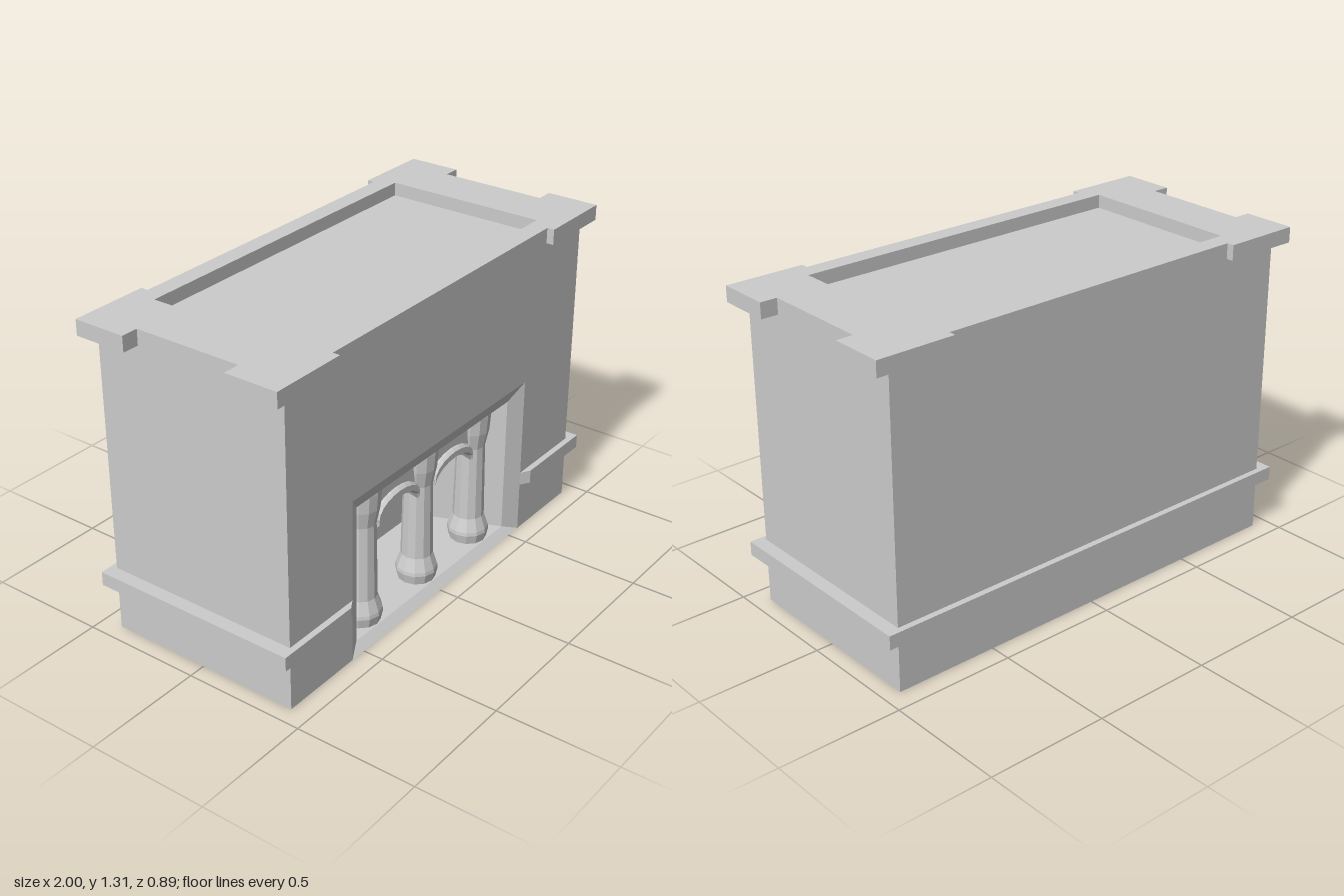
import * as THREE from 'three';

const material = new THREE.MeshStandardMaterial({ color: 0xcccccc, flatShading: true });

function add(parent, name, geometry, x = 0, y = 0, z = 0) {
  const mesh = new THREE.Mesh(geometry, material);
  mesh.name = name;
  mesh.position.set(x, y, z);
  parent.add(mesh);
  return mesh;
}

// Flat faces from four-cornered loops, corners counter-clockwise from outside
function quads(list) {
  const pos = [];
  for (const [a, b, c, d] of list) pos.push(...a, ...b, ...c, ...a, ...c, ...d);
  const g = new THREE.BufferGeometry();
  g.setAttribute('position', new THREE.Float32BufferAttribute(pos, 3));
  g.computeVertexNormals();
  return g;
}

// Recess facing +z: rings run from the opening to the back, which is closed
const ring = (w, b, t, z) => [[-w, b, z], [w, b, z], [w, t, z], [-w, t, z]];
function recess(rings) {
  const list = [];
  for (let i = 0; i + 1 < rings.length; i++) {
    for (let k = 0; k < 4; k++) {
      const n = (k + 1) % 4;
      list.push([rings[i][k], rings[i][n], rings[i + 1][n], rings[i + 1][k]]);
    }
  }
  list.push(rings[rings.length - 1]);
  return quads(list);
}

const shapeOf = (pts) => new THREE.Shape(pts.map(([x, y]) => new THREE.Vector2(x, y)));
const rect = (w, d) => [[-w, -d], [w, -d], [w, d], [-w, d]];

const W = 0.93, D = 0.415, H = 1.31;       // body half width, half depth, height
const FLOOR = 0.03, CEILING = 0.615;       // alcove
const PILLAR_X = 0.365, PILLAR_Z = 0.3;

export function createModel() {
  const model = new THREE.Group();
  model.name = 'pedestal';

  // Body: sides, back and underside
  add(model, 'bodyWalls', quads([
    [[W, 0, D], [W, 0, -D], [W, H, -D], [W, H, D]],
    [[-W, 0, -D], [-W, 0, D], [-W, H, D], [-W, H, -D]],
    [[W, 0, -D], [-W, 0, -D], [-W, H, -D], [W, H, -D]],
    [[-W, 0, -D], [W, 0, -D], [W, 0, D], [-W, 0, D]],
  ]));

  // Front wall around the alcove opening
  add(model, 'frontWall', new THREE.ShapeGeometry(shapeOf([
    [-W, 0], [-0.57, 0], [-0.57, 0.685], [0.57, 0.685], [0.57, 0], [W, 0], [W, H], [-W, H],
  ])), 0, 0, D);

  // Top rim and the sunken tray inside it
  const rim = shapeOf(rect(W, D));
  rim.holes.push(shapeOf(rect(0.72, 0.34)));
  add(model, 'topRim', new THREE.ShapeGeometry(rim).rotateX(-Math.PI / 2), 0, H, 0);
  add(model, 'topTray', recess([ring(0.72, -0.34, 0.34, 0), ring(0.72, -0.34, 0.34, -0.055)])
    .rotateX(-Math.PI / 2), 0, H, 0);

  // Bracket wrapped around each top corner
  for (const sx of [-1, 1]) {
    for (const sz of [-1, 1]) {
      const corner = new THREE.Group();
      corner.name = 'cornerBracket';
      add(corner, 'bracketLongArm', new THREE.BoxGeometry(0.325, 0.063, 0.03), sx * 0.8375, 1.2785, sz * 0.43);
      add(corner, 'bracketShortArm', new THREE.BoxGeometry(0.07, 0.063, 0.19), sx * 0.965, 1.2785, sz * 0.32);
      model.add(corner);
    }
  }

  // Moulding round the base, cut at a slant beside the alcove
  const band = shapeOf([
    [0.57, D], [0.61, 0.44], [0.985, 0.44], [0.985, -0.44], [-0.985, -0.44], [-0.985, 0.44],
    [-0.61, 0.44], [-0.57, D], [-W, D], [-W, -D], [W, -D], [W, D],
  ]);
  add(model, 'baseMoulding', new THREE.ExtrudeGeometry(band, { depth: 0.057, bevelEnabled: false })
    .rotateX(Math.PI / 2), 0, 0.267, 0);

  // Alcove with a bevelled mouth and walls narrowing to the back
  add(model, 'alcove', recess([
    ring(0.57, 0, 0.685, D), ring(0.5, FLOOR, CEILING, 0.38), ring(0.36, FLOOR, CEILING, 0.03),
  ]));

  // Pillars with flared foot and head
  const profile = [
    [0.076, FLOOR], [0.085, 0.07], [0.083, 0.085], [0.064, 0.14], [0.058, 0.46],
    [0.072, 0.53], [0.077, 0.6], [0.077, CEILING],
  ].map(([r, y]) => new THREE.Vector2(r, y));
  for (const x of [-PILLAR_X, 0, PILLAR_X]) {
    add(model, 'pillar', new THREE.LatheGeometry(profile, 12), x, 0, PILLAR_Z);
  }

  // Arches between the pillars: a spandrel panel with a raised rim below
  const half = 0.13;
  const curve = (lift) => Array.from({ length: 11 }, (_, i) => {
    const a = Math.PI * (1 - i / 10);
    return [half * Math.cos(a), 0.43 + lift + 0.065 * Math.sin(a)];
  });
  const panel = shapeOf([...curve(0.01), [half, CEILING], [-half, CEILING]]);
  const rimBand = shapeOf([...curve(0), ...curve(0.025).reverse()]);
  for (const x of [-PILLAR_X / 2, PILLAR_X / 2]) {
    add(model, 'archPanel', new THREE.ExtrudeGeometry(panel, { depth: 0.05, bevelEnabled: false }),
      x, 0, PILLAR_Z - 0.025);
    add(model, 'archRim', new THREE.ExtrudeGeometry(rimBand, {
      depth: 0.07, bevelThickness: 0.012, bevelSize: 0.008, bevelSegments: 1,
    }), x, 0, PILLAR_Z - 0.035);
  }

  return model;
}
